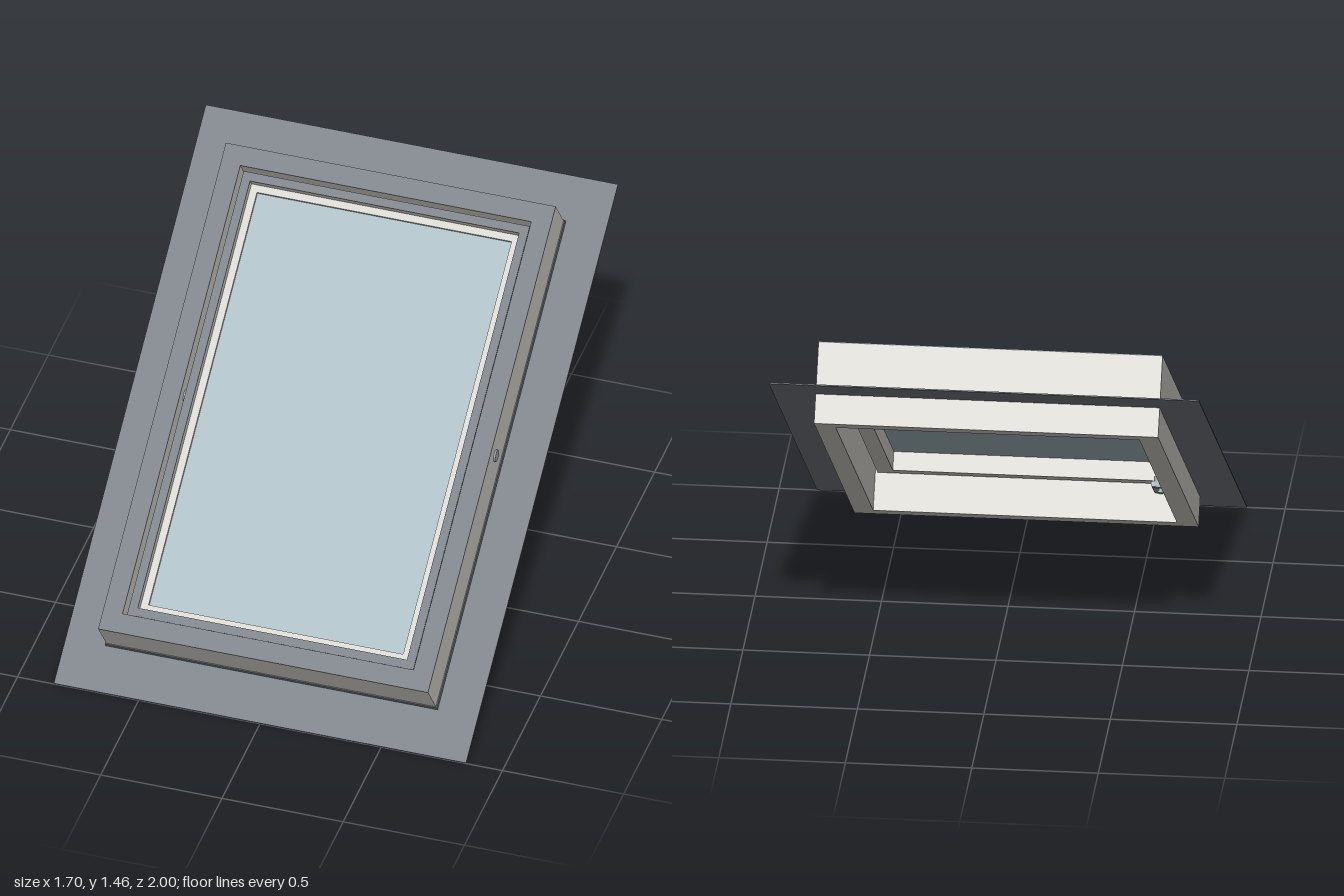
import * as THREE from 'three';

const material = (name, color) => {
  const m = new THREE.MeshStandardMaterial({ color });
  m.name = name;
  return m;
};

export function createModel() {
  const cladding = material('grey cladding', 0x73787f);
  const lining = material('pale lining', 0xd2d0c9);
  const glass = material('blue grey glass', 0xa5b8be);
  const metal = material('fitting metal', 0x9aabae);

  // Built flat: x across, y up the slope, z out of the roof
  const slope = new THREE.Group();
  slope.name = 'roofWindow';

  function add(name, geometry, mat, x = 0, y = 0, z = 0) {
    const mesh = new THREE.Mesh(geometry, mat);
    mesh.name = name;
    mesh.position.set(x, y, z);
    slope.add(mesh);
    return mesh;
  }

  // Rectangular ring given half sizes, from depth z0 to z1
  function ring(name, mat, [ox, oy], [ix, iy], z0, z1) {
    const shape = new THREE.Shape([
      new THREE.Vector2(-ox, -oy), new THREE.Vector2(ox, -oy),
      new THREE.Vector2(ox, oy), new THREE.Vector2(-ox, oy)]);
    shape.holes.push(new THREE.Path([
      new THREE.Vector2(-ix, -iy), new THREE.Vector2(-ix, iy),
      new THREE.Vector2(ix, iy), new THREE.Vector2(ix, -iy)]));
    const geometry = new THREE.ExtrudeGeometry(shape, { depth: z1 - z0, bevelEnabled: false });
    return add(name, geometry, mat, 0, 0, z0);
  }

  // Flashing sheet and its upstand around the frame
  ring('flashing', cladding, [0.85, 1.22], [0.68, 1.025], -0.002, 0.003);
  ring('flashingUpstand', cladding, [0.684, 1.029], [0.679, 1.024], 0.003, 0.027);

  // Fixed outer frame with its cover
  const frameOuter = [0.68, 1.025], frameInner = [0.6, 0.945];
  ring('frame', lining, frameOuter, frameInner, -0.12, 0.204);
  ring('frameCover', cladding, frameOuter, frameInner, 0.204, 0.209);

  // Opening sash: body, raised rim, cover and pane
  const sashOuter = [0.59, 0.935], sashRim = [0.555, 0.9], sashInner = [0.525, 0.87];
  ring('sash', lining, sashOuter, sashInner, 0.03, 0.137);
  ring('sashRim', lining, sashOuter, sashRim, 0.137, 0.169);
  ring('sashCover', cladding, sashOuter, sashRim, 0.169, 0.174);
  add('pane', new THREE.BoxGeometry(1.05, 1.74, 0.02), glass, 0, 0, 0.115);

  // Pivots through both frame sides
  for (const side of [1, -1]) {
    const pivot = add('pivot', new THREE.CylinderGeometry(0.025, 0.025, 0.105, 20), metal, side * 0.635, 0, 0.13);
    pivot.rotation.z = Math.PI / 2;
  }

  // Inside handle: a bar on two posts
  const handleX = -0.515, handleY = -0.855;
  add('handleBar', new THREE.CylinderGeometry(0.012, 0.012, 0.15, 16), metal, handleX, handleY, 0.003);
  for (const end of [1, -1]) {
    const post = add('handlePost', new THREE.CylinderGeometry(0.016, 0.016, 0.045, 16), metal,
      handleX - 0.015, handleY + end * 0.06, 0.012);
    post.rotation.x = Math.PI / 2;
  }

  // Lay the window on the roof pitch
  slope.rotation.x = -THREE.MathUtils.degToRad(55);
  slope.position.y = 0.702;

  const model = new THREE.Group();
  model.name = 'model';
  model.add(slope);
  return model;
}
